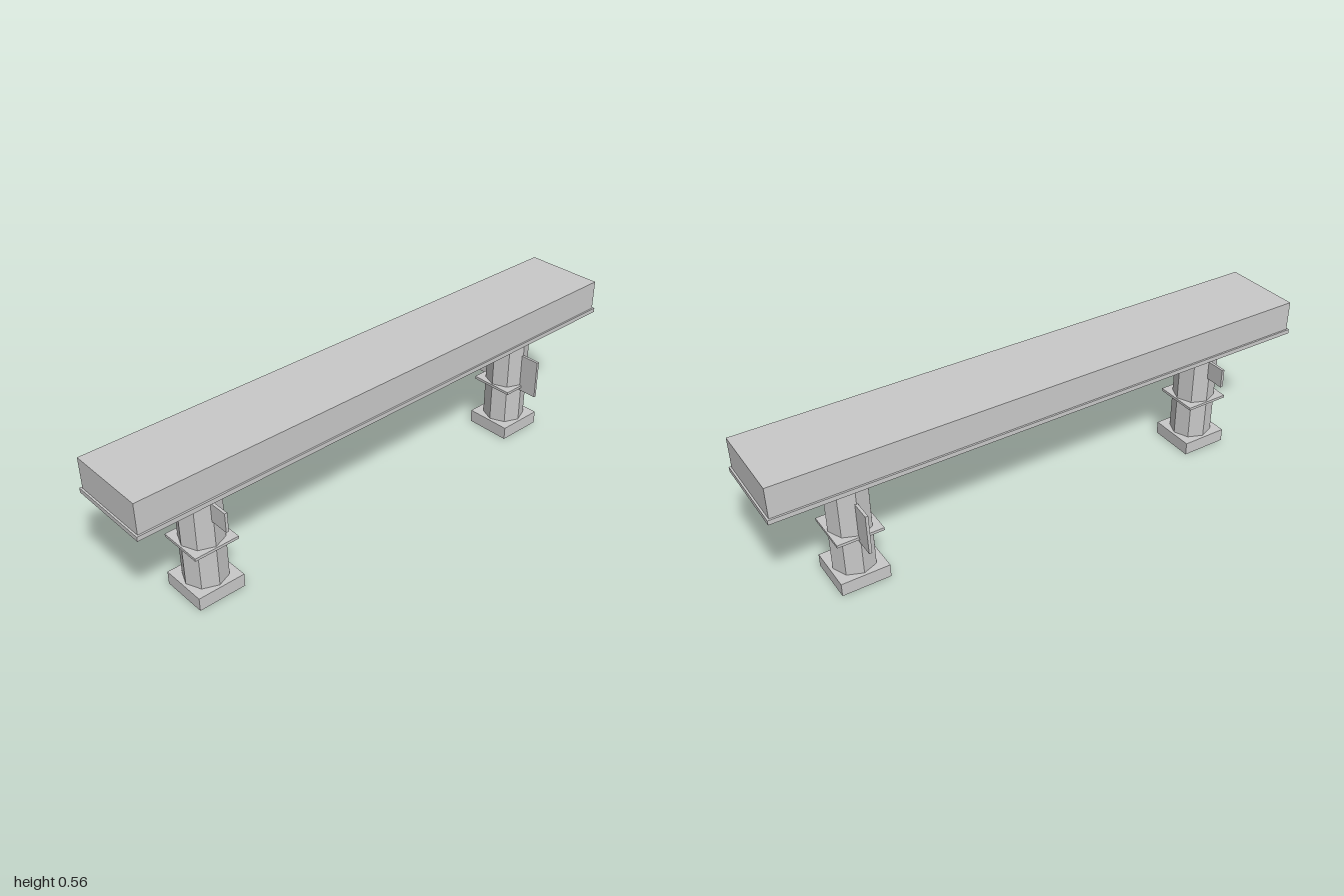
import * as THREE from 'three';

const concrete = new THREE.MeshStandardMaterial({ color: 0xc8c8c8, flatShading: true });
concrete.name = 'concrete grey';

function add(parent, name, geometry, y) {
  const mesh = new THREE.Mesh(geometry, concrete);
  mesh.name = name;
  mesh.position.y = y;
  parent.add(mesh);
  return mesh;
}

// Box spanning y0 to y1, centred on x and z
function slab(parent, name, width, y0, y1, depth) {
  return add(parent, name, new THREE.BoxGeometry(width, y1 - y0, depth), (y0 + y1) / 2);
}

// Octagonal column with square foot, collar plate and a thin panel on each side
function pillar(name, z, panelBottom, panelTop) {
  const group = new THREE.Group();
  group.name = name;
  group.position.z = z;
  slab(group, 'foot', 0.173, 0, 0.048, 0.173);
  add(group, 'column', new THREE.CylinderGeometry(0.076, 0.076, 0.384, 8), 0.24);
  slab(group, 'collarPlate', 0.163, 0.192, 0.202, 0.163);
  for (const side of [-1, 1]) {
    const panel = slab(group, side > 0 ? 'leftPanel' : 'rightPanel', 0.082, panelBottom, panelTop, 0.01);
    panel.position.x = side * 0.105;
  }
  return group;
}

export function createModel() {
  const model = new THREE.Group();
  model.name = 'elevatedBeam';

  // Deck resting on a slightly wider base plate
  slab(model, 'deck', 0.292, 0.448, 0.556, 1.987);
  slab(model, 'deckBasePlate', 0.305, 0.432, 0.448, 2);

  // Short panels at the front, lower and taller ones at the back
  model.add(pillar('frontPillar', 0.703, 0.3, 0.37));
  model.add(pillar('backPillar', -0.7, 0.18, 0.326));
  return model;
}
